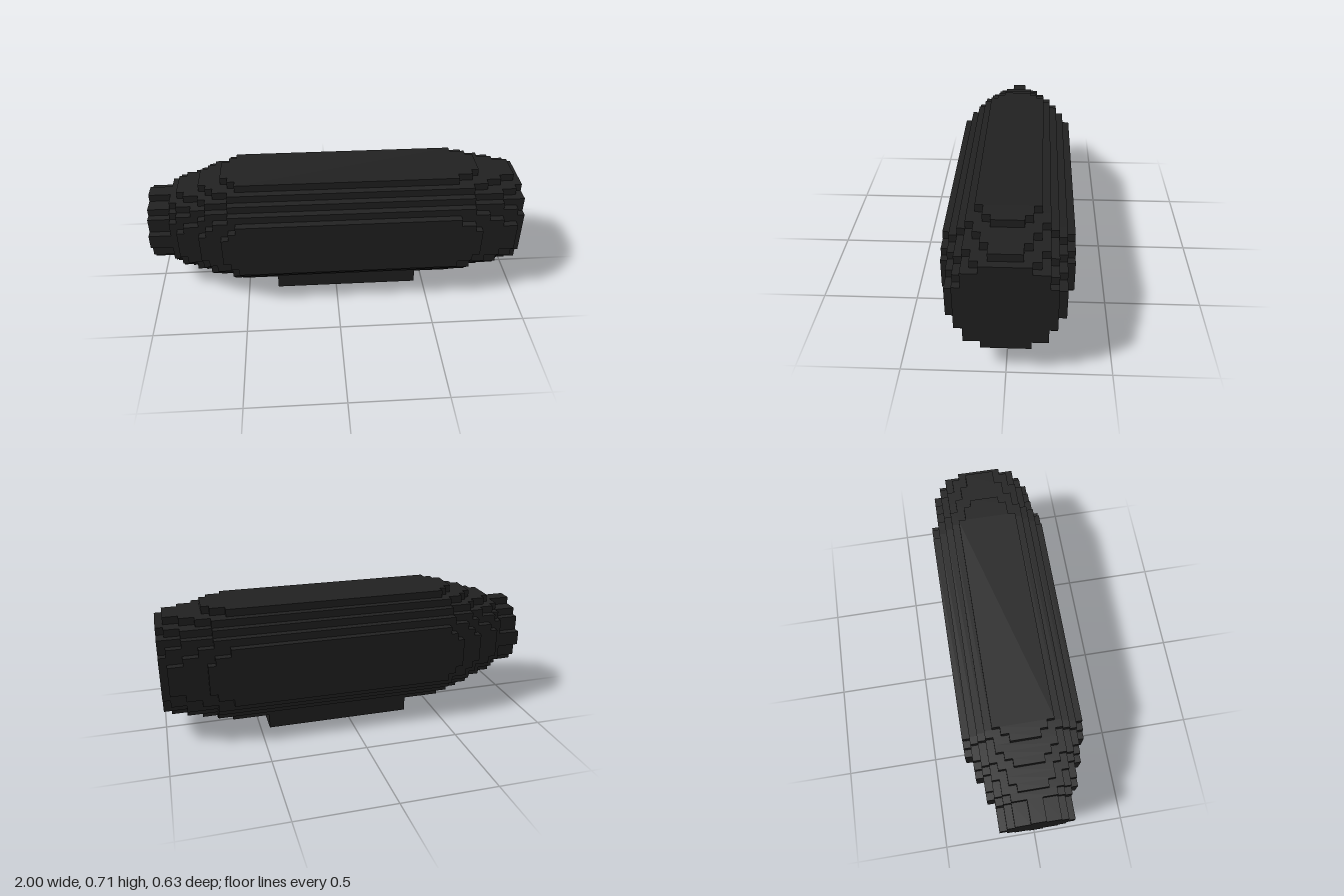
import * as THREE from 'three';

const U = 2 / 51;        // edge of one block
const AXIS = 10 * U;     // height of the hull axis

const black = new THREE.MeshStandardMaterial({ color: 0x222222 });
black.name = 'black';

// Hull radius, in blocks, for the slice centred on x
function radiusAt(x) {
  if (x <= -23) return 4.6;                    // blunt narrow tip
  if (x < -13) return 8.39 + 0.32 * (x + 13);  // steep taper
  if (x > 16) return 8.31 - 0.2 * (x - 16);    // gentle taper
  return 8.39;                                 // straight middle
}

// Half-width of each block row, counted from the axis outwards
function rowWidths(r) {
  const rows = [];
  for (let j = 0.5; j <= r; j++) {
    let w = 0;
    while ((w + 0.5) ** 2 + j * j <= r * r) w++;
    if (w > 0) rows.push(w);
  }
  return rows;
}

// Stepped disc outline, one quarter mirrored into four
function steppedDisc(rows) {
  const quarter = [];
  rows.forEach((w, j) => {
    if (rows[j + 1] === w) return;
    quarter.push([w, j + 1]);
    if (rows[j + 1]) quarter.push([rows[j + 1], j + 1]);
  });
  const back = [...quarter].reverse();
  const points = [
    ...quarter,
    ...back.map(([a, b]) => [-a, b]),
    ...quarter.map(([a, b]) => [-a, -b]),
    ...back.map(([a, b]) => [a, -b]),
  ];
  return new THREE.Shape(points.map(([a, b]) => new THREE.Vector2(a * U, b * U)));
}

export function createModel() {
  const model = new THREE.Group();
  model.name = 'blockHull';

  // Hull: one extrusion for each run of equal slices
  const hull = new THREE.Group();
  hull.name = 'hull';
  hull.position.y = AXIS;
  model.add(hull);
  let start = -25;
  for (let x = -25; x <= 25; x++) {
    const rows = rowWidths(radiusAt(x));
    if (x < 25 && rows.join() === rowWidths(radiusAt(x + 1)).join()) continue;
    const geometry = new THREE.ExtrudeGeometry(steppedDisc(rows), {
      depth: (x - start + 1) * U,
      bevelEnabled: false,
    });
    geometry.rotateY(Math.PI / 2);
    geometry.translate((start - 0.5) * U, 0, 0);
    const section = new THREE.Mesh(geometry, black);
    section.name = 'hullSection';
    hull.add(section);
    start = x + 1;
  }

  // Flat keel block under the hull
  const keel = new THREE.Mesh(new THREE.BoxGeometry(20 * U, 2 * U, 8 * U), black);
  keel.name = 'keel';
  keel.position.set(1.5 * U, U, 0);
  model.add(keel);

  return model;
}
